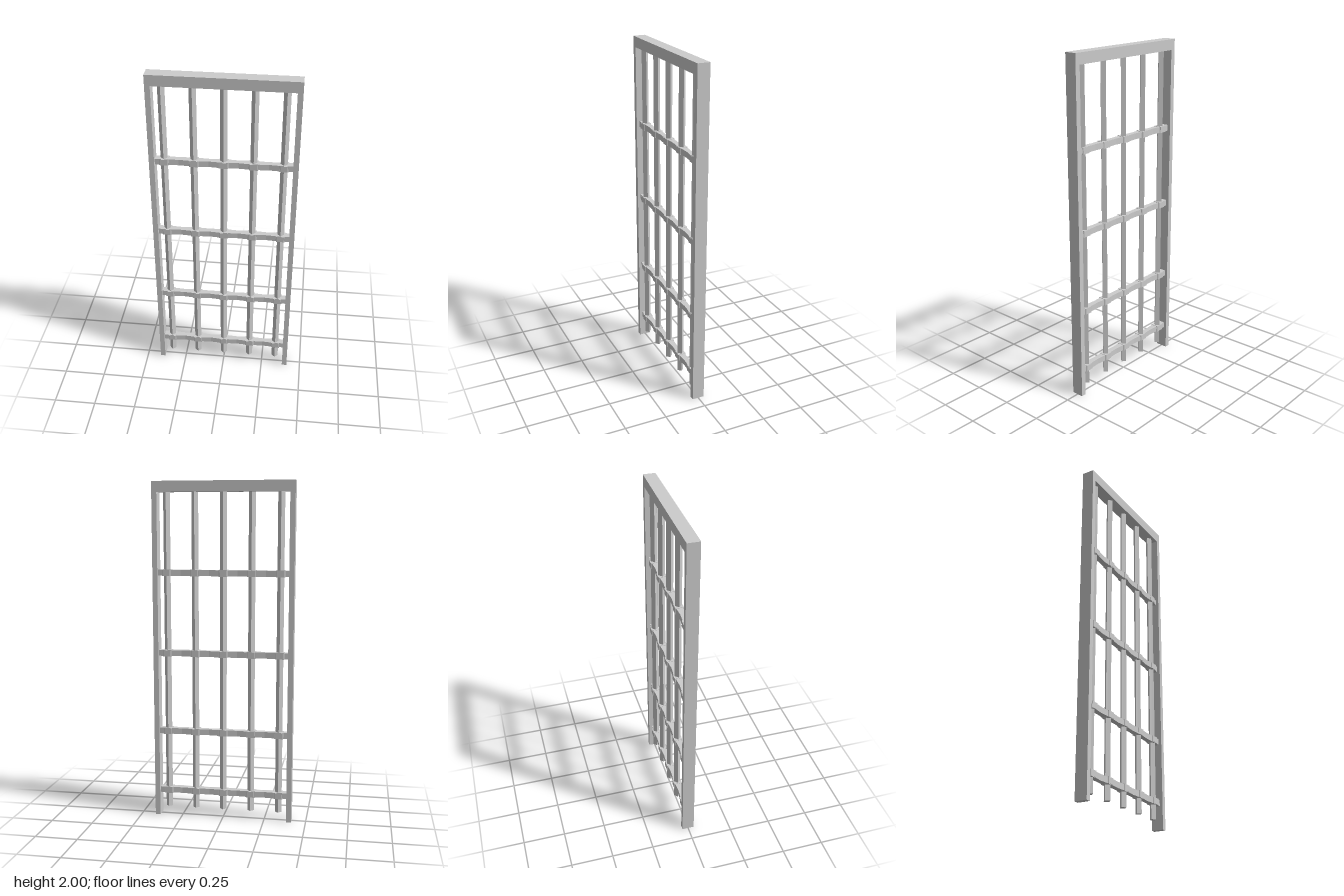
import * as THREE from 'three';

export function createModel() {
  const model = new THREE.Group();
  const material = new THREE.MeshStandardMaterial({ color: 0xcccccc, flatShading: true });
  const add = (name, geometry, x, y, z = 0) => {
    const mesh = new THREE.Mesh(geometry, material);
    mesh.name = name;
    mesh.position.set(x, y, z);
    model.add(mesh);
    return mesh;
  };

  const W = 0.83, D = 0.072, JAMB = 0.03, LINTEL = 0.062;
  const barXs = [-0.334, -0.167, 0, 0.167, 0.334];

  // Door frame: one arch-shaped outline, open at the bottom
  const inner = W / 2 - JAMB;
  const outline = new THREE.Shape([
    [-W / 2, 0], [-inner, 0], [-inner, 2 - LINTEL], [inner, 2 - LINTEL],
    [inner, 0], [W / 2, 0], [W / 2, 2], [-W / 2, 2],
  ].map(([x, y]) => new THREE.Vector2(x, y)));
  add('frame', new THREE.ExtrudeGeometry(outline, { depth: D, bevelEnabled: false }), 0, 0, -D / 2);

  // Upright bars: square section set with an edge to the front
  const barBottom = 0.05, barTop = 2 - LINTEL;
  const barGeometry = new THREE.CylinderGeometry(0.02, 0.02, barTop - barBottom, 4);
  for (const x of barXs) add('uprightBar', barGeometry, x, (barTop + barBottom) / 2);

  // Cross bars: plan outline narrows between the uprights and swells around them
  const plan = [[-inner, 0.018]];
  barXs.forEach((x, i) => {
    plan.push([x - 0.027, 0.019], [x - 0.02, 0.025], [x + 0.02, 0.025], [x + 0.027, 0.019]);
    if (i < barXs.length - 1) plan.push([(x + barXs[i + 1]) / 2, 0.015]);
  });
  plan.push([inner, 0.018]);
  const planShape = new THREE.Shape([
    ...plan.map(([x, z]) => new THREE.Vector2(x, -z)),
    ...plan.slice().reverse().map(([x, z]) => new THREE.Vector2(x, z)),
  ]);
  const crossHeight = 0.035;
  const crossGeometry = new THREE.ExtrudeGeometry(planShape, { depth: crossHeight, bevelEnabled: false });
  crossGeometry.rotateX(-Math.PI / 2).translate(0, -crossHeight / 2, 0);

  // Collars where bars cross
  const collarGeometry = new THREE.BoxGeometry(0.052, 0.039, 0.046);
  for (const y of [0.155, 0.525, 1.0, 1.475]) {
    add('crossBar', crossGeometry, 0, y);
    for (const x of barXs) add('collar', collarGeometry, x, y);
  }
  return model;
}
